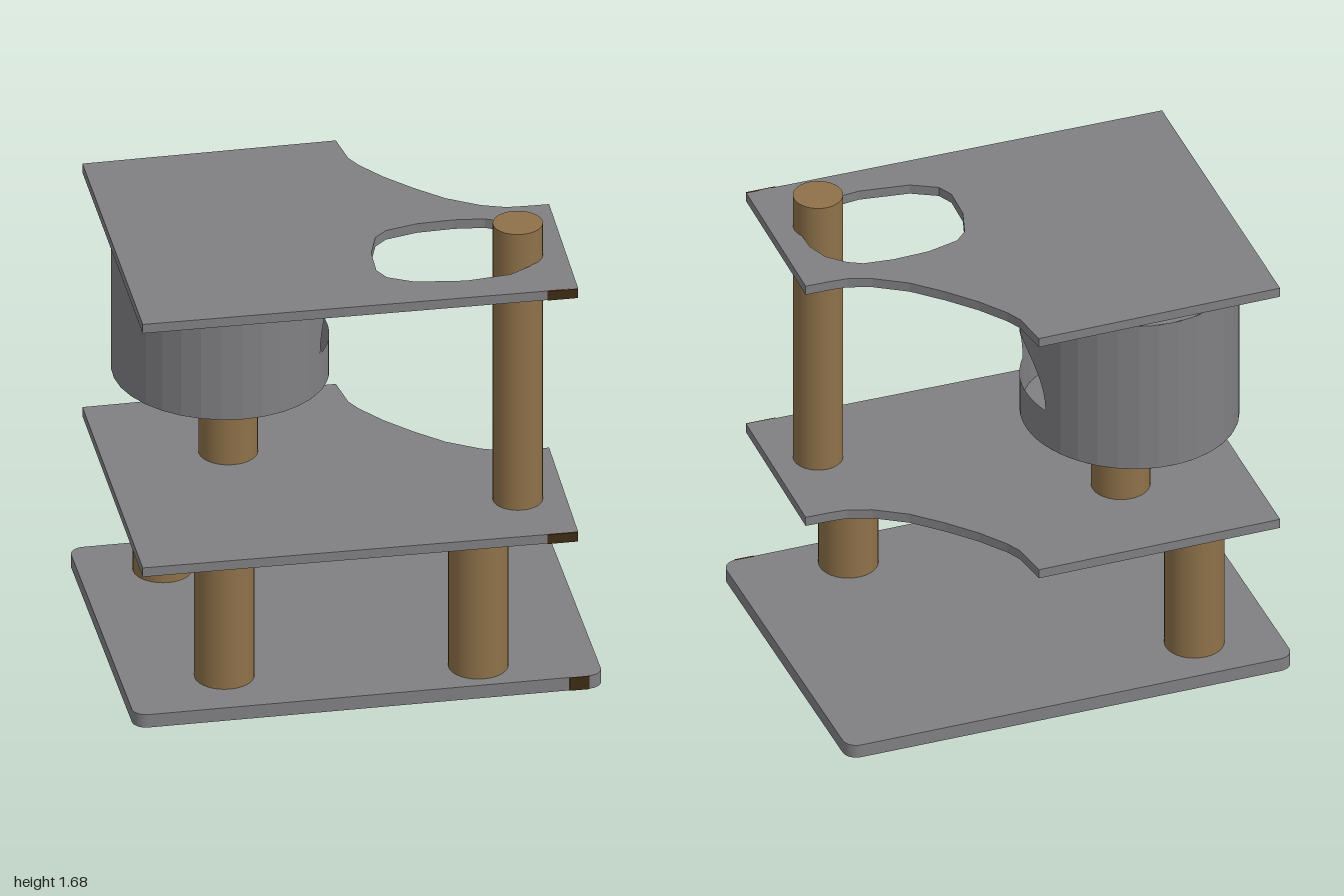
import * as THREE from 'three';

const grey = new THREE.MeshStandardMaterial({ color: 0x808083, side: THREE.DoubleSide });
grey.name = 'grey carpet';
const brown = new THREE.MeshStandardMaterial({ color: 0x8e7149 });
brown.name = 'brown rope';
const dark = new THREE.MeshStandardMaterial({ color: 0x3d2b14 });
dark.name = 'dark brown';

const rad = THREE.MathUtils.degToRad;

export function createModel() {
  const model = new THREE.Group();

  function add(name, geometry, material, parent = model) {
    const mesh = new THREE.Mesh(geometry, material);
    mesh.name = name;
    parent.add(mesh);
    return mesh;
  }

  // Horizontal board from an outline drawn in (x, -z)
  function board(shape, y, thickness) {
    const g = new THREE.ExtrudeGeometry(shape, { depth: thickness, bevelEnabled: false, curveSegments: 6 });
    return g.rotateX(-Math.PI / 2).translate(0, y, 0);
  }
  const toPoints = list => list.map(([x, z]) => new THREE.Vector2(x, -z));

  // Base: rounded rectangle turned on the floor
  const hu = 0.565, hv = 0.765, r = 0.05;
  const baseShape = new THREE.Shape();
  [[1, 1], [-1, 1], [-1, -1], [1, -1]].forEach(([sx, sy], i) =>
    baseShape.absarc(sx * hu, sy * hv, r, i * Math.PI / 2, (i + 1) * Math.PI / 2, false));
  baseShape.closePath();
  add('base', board(baseShape, 0, 0.05).rotateY(rad(-34.5)), grey);

  // Shelves with a scooped back edge; the upper one has an oval hole
  const outline = [
    [-0.925, 0.3], [0.04, 0.975], [0.91, -0.26], [0.41, -0.62], [0.36, -0.55], [0.32, -0.5],
    [0.25, -0.45], [0.13, -0.4], [0, -0.375], [-0.13, -0.36], [-0.25, -0.36], [-0.31, -0.37],
    [-0.37, -0.4], [-0.43, -0.43],
  ];
  const oval = [
    [0.46, -0.43], [0.54, -0.41], [0.6, -0.37], [0.65, -0.32], [0.68, -0.26], [0.675, -0.17],
    [0.6, -0.03], [0.48, 0.1], [0.39, 0.145], [0.33, 0.135], [0.23, 0.06], [0.16, -0.03],
    [0.15, -0.09], [0.19, -0.2], [0.26, -0.31], [0.33, -0.39], [0.38, -0.415],
  ];
  const lowerShape = new THREE.Shape(toPoints(outline));
  const upperShape = new THREE.Shape(toPoints(outline));
  upperShape.holes.push(new THREE.Path(toPoints(oval)));
  add('lowerShelf', board(lowerShape, 0.57, 0.035), grey);
  add('upperShelf', board(upperShape, 1.515, 0.035), grey);

  // Posts: name, x, z, radius, bottom, top
  [
    ['rightLowerPost', -0.637, 0.2, 0.103, 0.05, 0.57],
    ['frontLowerPost', 0.055, 0.595, 0.103, 0.05, 0.57],
    ['leftLowerPost', 0.617, -0.07, 0.103, 0.05, 0.565],
    ['drumStem', -0.35, 0.171, 0.102, 0.605, 0.915],
    ['tallPost', 0.593, -0.285, 0.086, 0.605, 1.675],
  ].forEach(([name, x, z, radius, y0, y1]) => {
    const g = new THREE.CylinderGeometry(radius, radius, y1 - y0, 32);
    add(name, g.translate(x, (y0 + y1) / 2, z), brown);
  });

  // Hollow drum with an arched doorway
  const drum = new THREE.Group();
  drum.name = 'drum';
  drum.position.set(-0.383, 0, 0.177);
  model.add(drum);
  const rx = 0.382, rz = 0.364, y0 = 0.915, y1 = 1.498, door = rad(137), half = rad(27);
  const flat = g => {
    const n = g.toNonIndexed();
    n.computeVertexNormals();
    return n;
  };
  const wall = new THREE.CylinderGeometry(1, 1, y1 - y0, 28, 1, true, door + half, 2 * Math.PI - 2 * half);
  add('drumWall', flat(wall.scale(rx, 1, rz).translate(0, (y0 + y1) / 2, 0)), grey, drum);

  // Bend a flat strip round the doorway, between two height rules
  function strip(low, high) {
    const g = new THREE.PlaneGeometry(2, 1, 16, 1);
    const p = g.attributes.position;
    for (let i = 0; i < p.count; i++) {
      const t = Math.sin(p.getX(i) * Math.PI / 2);
      const a = door + t * half;
      p.setXYZ(i, rx * Math.sin(a), p.getY(i) > 0 ? high(t) : low(t), rz * Math.cos(a));
    }
    g.computeVertexNormals();
    return g;
  }
  add('doorSill', strip(() => y0, () => 1.06), grey, drum);
  add('doorArch', strip(t => 1.06 + 0.19 * Math.sqrt(Math.max(0, 1 - t * t)), () => y1), grey, drum);

  // Drum floor and lid
  const disc = () => new THREE.CircleGeometry(1, 32).scale(rx, rz, 1);
  add('drumFloor', disc().rotateX(Math.PI / 2).translate(0, y0, 0), grey, drum);
  add('drumLid', disc().rotateX(-Math.PI / 2).translate(0, y1, 0), grey, drum);

  // Dark patches on the board edges by the left corner
  [
    ['baseEdgePatch', 0.921, 0.025, -0.255, 0.05, 0.068],
    ['lowerShelfEdgePatch', 0.879, 0.5875, -0.216, 0.035, 0.106],
    ['upperShelfEdgePatch', 0.879, 1.5325, -0.216, 0.035, 0.106],
  ].forEach(([name, x, y, z, h, length]) => {
    const patch = add(name, new THREE.BoxGeometry(0.008, h, length), dark);
    patch.position.set(x, y, z);
    patch.rotation.y = rad(-35);
  });

  return model;
}
